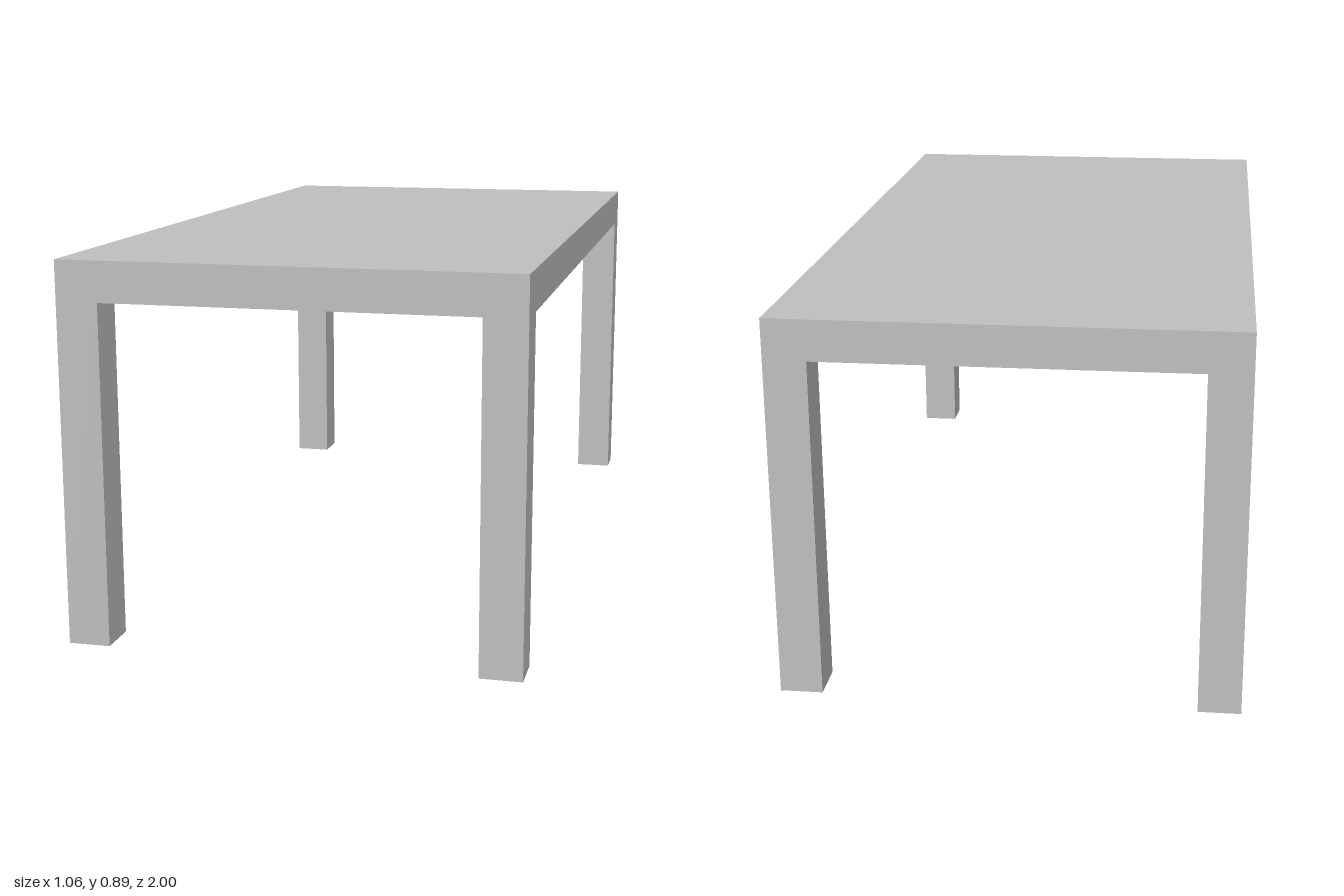
import * as THREE from 'three';

const W = 1.056, L = 2, H = 0.892;   // overall width, length, height
const LEG = 0.098, LEG_H = 0.798;    // square leg section and leg height
const TOP = 0.04;                    // table top thickness

export function createModel() {
  const table = new THREE.Group();
  table.name = 'table';
  const grey = new THREE.MeshStandardMaterial({ color: 0xbfbfbf });
  grey.name = 'light grey';

  const add = (name, geometry, x, y, z) => {
    const mesh = new THREE.Mesh(geometry, grey);
    mesh.name = name;
    mesh.position.set(x, y, z);
    table.add(mesh);
  };

  // Thin slab across the whole table
  add('tableTop', new THREE.BoxGeometry(W, TOP, L), 0, H - TOP / 2, 0);

  // Rectangular rim under the slab, as wide as the legs and open in the middle
  const corners = (w, l) => [[-w, -l], [w, -l], [w, l], [-w, l]].map(([x, y]) => new THREE.Vector2(x / 2, y / 2));
  const outline = new THREE.Shape(corners(W, L));
  outline.holes.push(new THREE.Path(corners(W - 2 * LEG, L - 2 * LEG)));
  const rim = new THREE.ExtrudeGeometry(outline, { depth: H - TOP - LEG_H, bevelEnabled: false });
  rim.rotateX(-Math.PI / 2);
  add('rim', rim, 0, LEG_H, 0);

  // Four square legs flush with the corners
  const legGeometry = new THREE.BoxGeometry(LEG, LEG_H, LEG);
  for (const [side, sx] of [['Left', 1], ['Right', -1]]) {
    for (const [end, sz] of [['front', 1], ['back', -1]]) {
      add(`${end}${side}Leg`, legGeometry, sx * (W - LEG) / 2, LEG_H / 2, sz * (L - LEG) / 2);
    }
  }
  return table;
}
